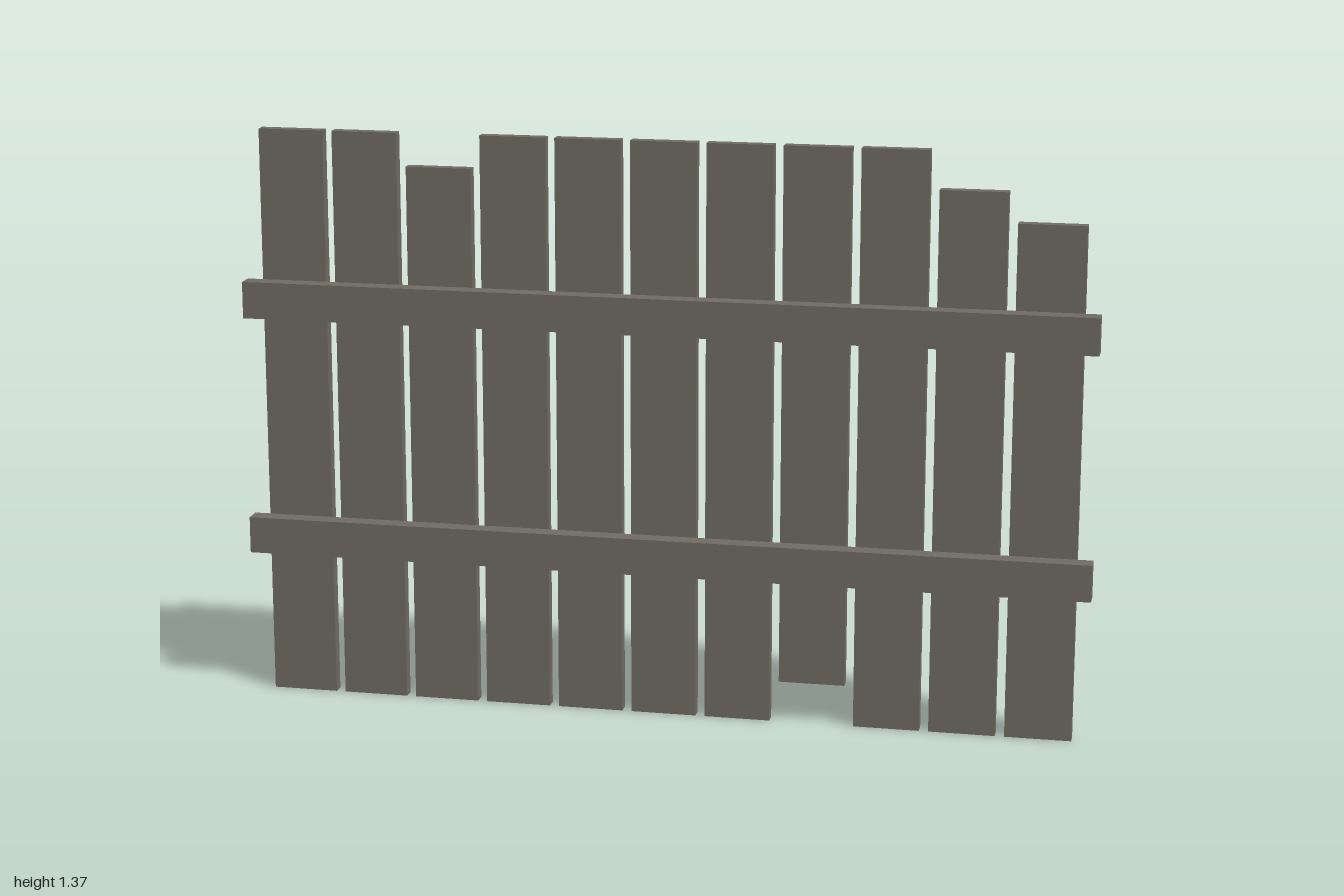
import * as THREE from 'three';

export function createModel() {
  const group = new THREE.Group();
  const wood = new THREE.MeshStandardMaterial({ color: 0x716c63 });
  wood.name = 'weathered wood';

  // Box given by its centre x and its y and z ranges
  function board(name, x, width, y0, y1, z0, z1) {
    const mesh = new THREE.Mesh(new THREE.BoxGeometry(width, y1 - y0, z1 - z0), wood);
    mesh.name = name;
    mesh.position.set(x, (y0 + y1) / 2, (z0 + z1) / 2);
    group.add(mesh);
  }

  // Upright planks, some cut short at the top or broken off at the bottom
  const count = 11, pitch = 0.177;
  const tops = { 2: 1.288, 9: 1.277, 10: 1.207 };
  const bottoms = { 7: 0.098 };
  for (let i = 0; i < count; i++) {
    const x = (i - (count - 1) / 2) * pitch;
    board(`plank${i + 1}`, x, 0.155, bottoms[i] ?? 0, tops[i] ?? 1.366, -0.035, -0.007);
  }

  // Horizontal rails across the front
  board('lowerRail', 0, 2, 0.35, 0.437, -0.007, 0.036);
  board('upperRail', 0, 2, 0.922, 1.009, -0.007, 0.036);

  return group;
}
